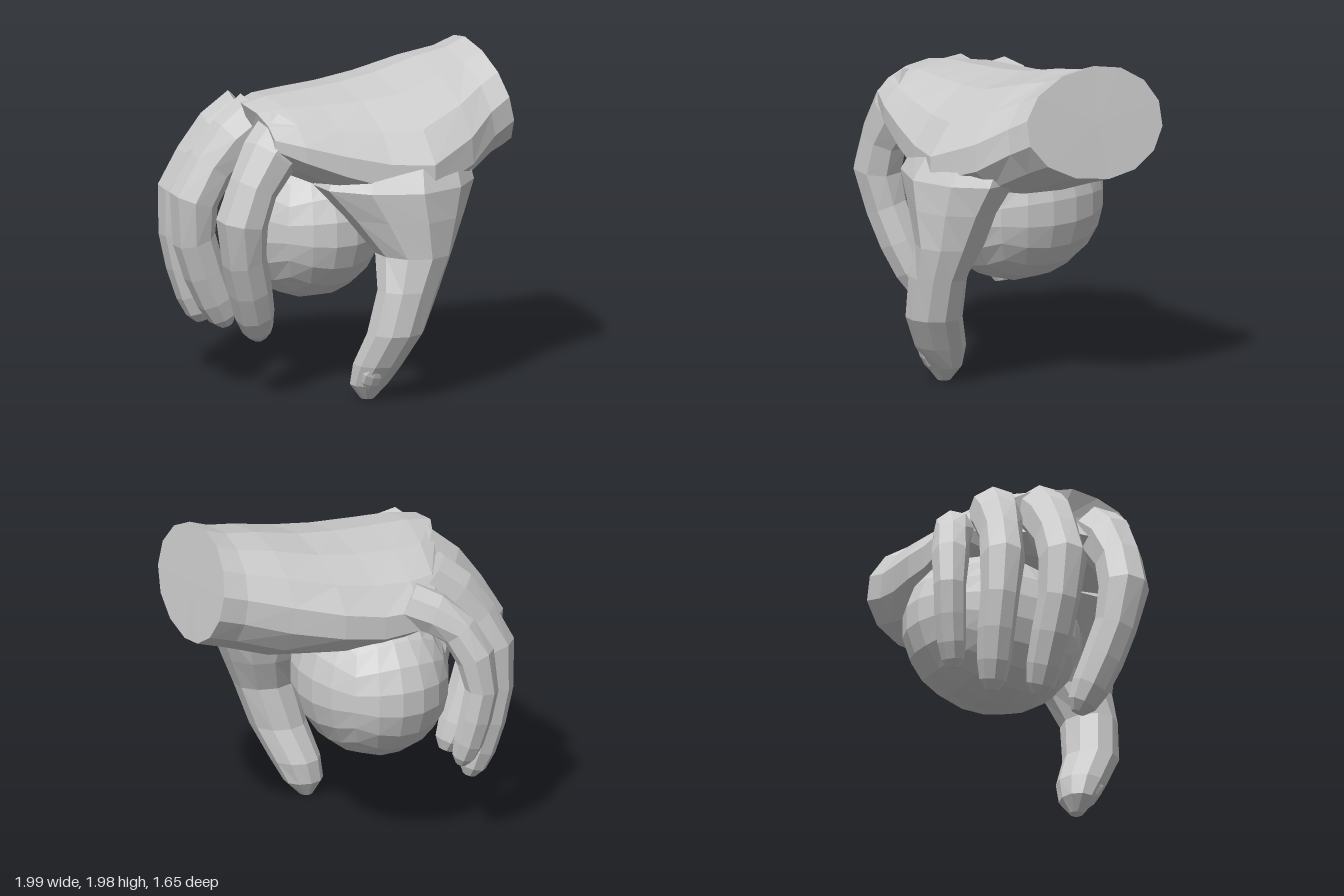
import * as THREE from 'three';

const material = new THREE.MeshStandardMaterial({ color: 0xcccccc, flatShading: true });
const V = (x, y, z) => new THREE.Vector3(x, y, z);

function addMesh(parent, name, geometry) {
  const mesh = new THREE.Mesh(geometry, material);
  mesh.name = name;
  parent.add(mesh);
  return mesh;
}

// Skin a row of equal-sized rings and close both ends with fans
function loft(rings) {
  const n = rings[0].length;
  const points = rings.flat();
  const index = [];
  for (let r = 0; r < rings.length - 1; r++) {
    for (let i = 0; i < n; i++) {
      const a = r * n + i, b = r * n + (i + 1) % n;
      index.push(a, b, a + n, b, b + n, a + n);
    }
  }
  [0, rings.length - 1].forEach((r, end) => {
    const centre = V(0, 0, 0);
    rings[r].forEach((p) => centre.addScaledVector(p, 1 / n));
    const c = points.push(centre) - 1;
    for (let i = 0; i < n; i++) {
      const a = r * n + i, b = r * n + (i + 1) % n;
      if (end) index.push(a, b, c);
      else index.push(b, a, c);
    }
  });
  // Turn the faces outward if the enclosed volume comes out negative
  let volume = 0;
  for (let i = 0; i < index.length; i += 3) {
    const [a, b, c] = [0, 1, 2].map((k) => points[index[i + k]]);
    volume += a.dot(b.clone().cross(c));
  }
  if (volume < 0) index.reverse();
  const geometry = new THREE.BufferGeometry().setFromPoints(points);
  geometry.setIndex(index);
  const flat = geometry.toNonIndexed();
  flat.computeVertexNormals();
  return flat;
}

// Ring of n points from a rule taking cosine and sine
function ring(n, rule) {
  return Array.from({ length: n }, (_, i) => {
    const t = ((i + 0.5) / n) * Math.PI * 2;
    return rule(Math.cos(t), Math.sin(t));
  });
}

// Palm and wrist: upright sections that sag toward the thumb and little finger
function palm() {
  // x, front depth, back depth, y centre, half height, front sag, back sag, lean, skew
  const sections = [
    [0.92, 0.53, 0.42, 1.65, 0.325, 0, 0, -0.22, 0.05],
    [0.77, 0.56, 0.43, 1.6, 0.33, 0.02, 0, -0.15, 0.04],
    [0.54, 0.66, 0.51, 1.54, 0.36, 0.08, 0.02, -0.05, 0],
    [0.24, 0.75, 0.6, 1.5, 0.335, 0.15, 0.05, 0, 0],
    [0, 0.67, 0.64, 1.49, 0.315, 0.12, 0.08, 0, 0],
    [-0.25, 0.58, 0.66, 1.52, 0.27, 0.08, 0.1, 0, 0.03],
    [-0.48, 0.49, 0.62, 1.57, 0.21, 0.05, 0.12, 0, 0.12],
    [-0.64, 0.4, 0.55, 1.61, 0.14, 0.03, 0.14, 0, 0.24],
  ];
  return loft(sections.map(([x, front, back, yc, hy, sagF, sagB, lean, skew]) =>
    ring(14, (c, s) => V(
      x + lean * s * hy + skew * Math.max(0, -c) - (x > 0 ? skew * Math.max(0, c) : 0),
      yc + hy * s - (c > 0 ? sagF : sagB) * c * c,
      0.05 + (c > 0 ? front : back) * c))));
}

// Thumb: level sections from the heel of the hand down to the tip,
// with the web side drawn back under the palm
function thumb() {
  // y, x centre, half width, z centre, half depth, web pull
  const sections = [
    [1.6, 0.2, 0.25, 0.3, 0.22, 0],
    [1.45, 0.18, 0.42, 0.44, 0.3, 0.1],
    [1.28, 0.14, 0.47, 0.53, 0.3, 0.14],
    [1.1, 0.17, 0.35, 0.58, 0.25, 0.1],
    [0.88, 0.2, 0.22, 0.61, 0.21, 0.04],
    [0.68, 0.14, 0.19, 0.64, 0.16, 0],
    [0.42, 0.07, 0.17, 0.61, 0.165, 0],
    [0.22, 0.01, 0.15, 0.51, 0.15, 0],
    [0.09, -0.02, 0.12, 0.46, 0.1, 0],
    [0.0, -0.03, 0.04, 0.45, 0.04, 0],
  ];
  return loft(sections.map(([y, xc, hx, zc, hz, pull]) => ring(10, (c, s) =>
    V(xc + hx * c, y, zc + hz * s + pull * Math.min(0, c)))));
}

// Finger: eight-sided sections square to a bent path, thickest at the joints
function finger(path, radius) {
  const curve = new THREE.CatmullRomCurve3(path.map((p) => V(...p)));
  const stops = [[0, 1.25], [0.14, 1.15], [0.28, 1], [0.43, 1.05], [0.6, 0.9],
    [0.75, 0.88], [0.88, 0.8], [0.96, 0.62], [1, 0.3]];
  return loft(stops.map(([t, k]) => {
    const p = curve.getPointAt(t), along = curve.getTangentAt(t);
    const out = along.clone().cross(V(0, 0, 1)).normalize();
    const side = out.clone().cross(along);
    return ring(8, (c, s) => p.clone()
      .addScaledVector(out, c * k * radius * 1.06)
      .addScaledVector(side, s * k * radius));
  }));
}

// Ball: a box of five by five squares per face, pushed out to a sphere
function ball() {
  const geometry = new THREE.BoxGeometry(2, 2, 2, 5, 5, 5);
  const p = geometry.attributes.position, v = V(0, 0, 0);
  const spread = (a) => Math.tan(a * Math.PI / 4);
  for (let i = 0; i < p.count; i++) {
    v.fromBufferAttribute(p, i);
    v.set(spread(v.x), spread(v.y), spread(v.z)).normalize();
    p.setXYZ(i, v.x * 0.44, v.y * 0.475, v.z * 0.55);
  }
  geometry.computeVertexNormals();
  return geometry;
}

export function createModel() {
  const model = new THREE.Group();
  model.name = 'handHoldingBall';

  const hand = new THREE.Group();
  hand.name = 'hand';
  model.add(hand);
  addMesh(hand, 'palm', palm());
  addMesh(hand, 'thumb', thumb());

  // Nail on the outer side of the thumb tip
  const nail = addMesh(hand, 'thumbNail', new THREE.SphereGeometry(1, 8, 5));
  nail.scale.set(0.065, 0.1, 0.03);
  nail.position.set(-0.06, 0.14, 0.56);
  nail.rotation.set(0.55, -0.4, 0);

  const fingers = {
    indexFinger: [0.14, [[-0.46, 1.6, 0.26], [-0.62, 1.47, 0.31], [-0.79, 1.1, 0.31],
      [-0.7, 0.72, 0.24], [-0.57, 0.36, 0.13]]],
    middleFinger: [0.135, [[-0.46, 1.63, -0.06], [-0.65, 1.48, -0.1], [-0.865, 1.12, -0.15],
      [-0.78, 0.74, -0.17], [-0.62, 0.38, -0.17]]],
    ringFinger: [0.125, [[-0.4, 1.59, -0.34], [-0.59, 1.43, -0.42], [-0.76, 1.08, -0.5],
      [-0.71, 0.7, -0.51], [-0.61, 0.34, -0.48]]],
    littleFinger: [0.105, [[-0.2, 1.5, -0.48], [-0.41, 1.39, -0.63], [-0.55, 1.08, -0.73],
      [-0.52, 0.78, -0.71], [-0.46, 0.5, -0.65]]],
  };
  for (const [name, [radius, path]] of Object.entries(fingers)) {
    addMesh(hand, name, finger(path, radius));
  }

  addMesh(model, 'ball', ball()).position.set(-0.11, 0.97, -0.18);
  return model;
}
